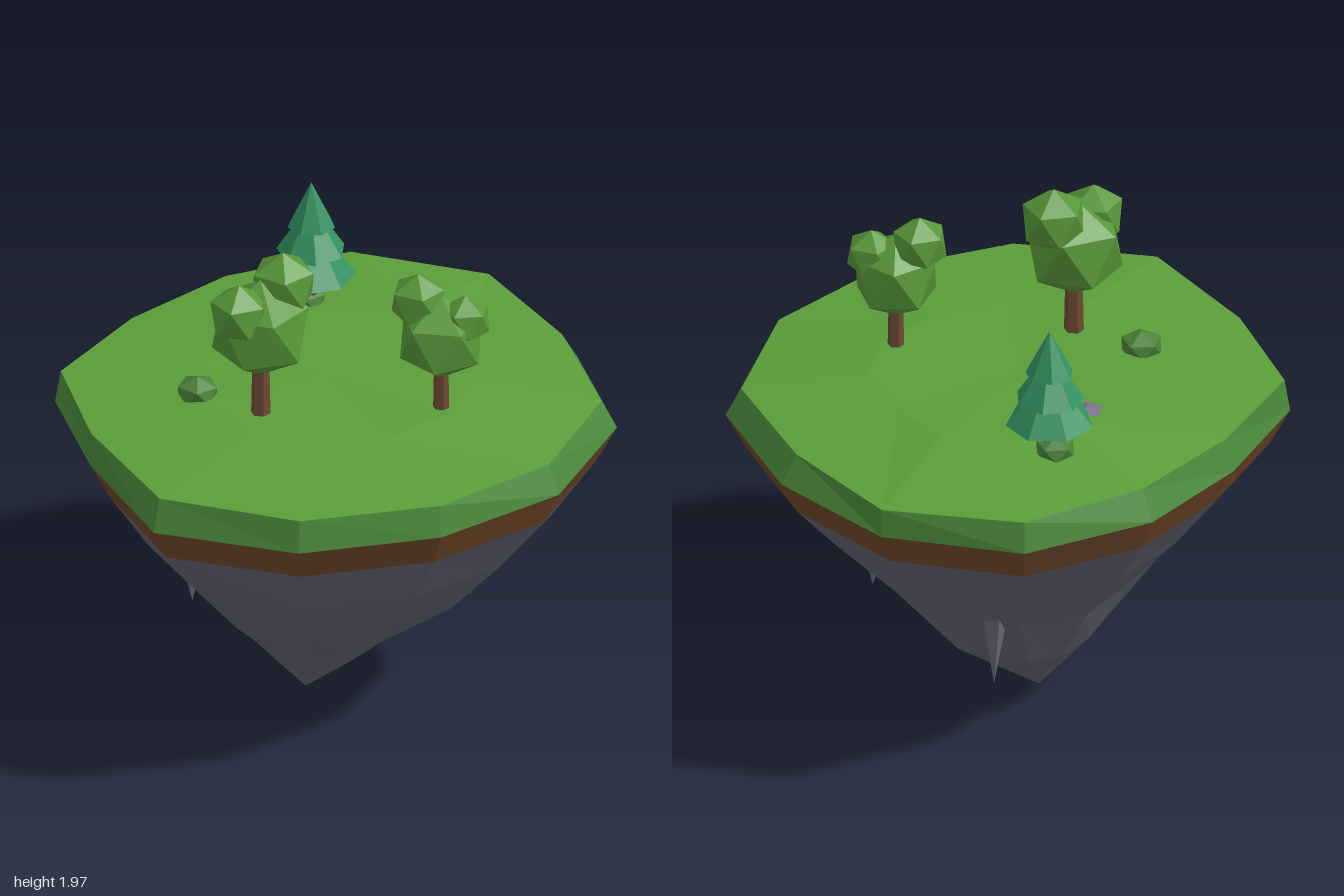
import * as THREE from 'three';

const mat = (name, color) => new THREE.MeshStandardMaterial({ name, color, flatShading: true });

// Island outline, clockwise seen from above: [x, z]
const outline = [
  [0.347, -1.0], [0.786, -0.68], [0.976, -0.18], [0.966, 0.376], [0.616, 0.804], [0.108, 0.99],
  [-0.43, 0.958], [-0.9, 0.656], [-0.98, 0.106], [-0.97, -0.397], [-0.6, -0.735], [-0.177, -0.968],
];
// Rim of the grass, slightly inside the outline
const rim = [
  [0.336, -0.974], [0.782, -0.677], [0.913, -0.17], [0.913, 0.355], [0.59, 0.767], [0.114, 0.963],
  [-0.42, 0.937], [-0.87, 0.635], [-0.975, 0.095], [-0.95, -0.39], [-0.585, -0.704], [-0.16, -0.92],
];

// A ring is the outline scaled by s, shifted by (cx, cz), at height y with a small wobble
const ring = (base, s, y, cx = 0, cz = 0, wobble = 0) =>
  base.map(([x, z], i) => {
    const k = s * (1 + wobble * Math.sin(i * 2.4 + y * 9));
    return new THREE.Vector3(x * k + cx, y + wobble * 0.4 * Math.sin(i * 1.9 + y * 5), z * k + cz);
  });

// Faceted skin through rings ordered from the top down
function skin(rings) {
  const pos = [];
  const tri = (a, b, c) => {
    if (a.distanceTo(b) && b.distanceTo(c) && c.distanceTo(a)) for (const p of [a, b, c]) pos.push(p.x, p.y, p.z);
  };
  for (let r = 0; r + 1 < rings.length; r++) {
    const t = rings[r], b = rings[r + 1], n = t.length;
    for (let i = 0; i < n; i++) {
      const j = (i + 1) % n;
      tri(t[i], t[j], b[i]);
      tri(t[j], b[j], b[i]);
    }
  }
  const g = new THREE.BufferGeometry();
  g.setAttribute('position', new THREE.Float32BufferAttribute(pos, 3));
  g.computeVertexNormals();
  return g;
}

// Icosahedron turned so that one corner points straight up
function blob(r) {
  return new THREE.IcosahedronGeometry(r, 0).rotateZ(Math.atan(2 / (1 + Math.sqrt(5))));
}

export function createModel() {
  const model = new THREE.Group();
  model.name = 'floatingIsland';
  const m = {
    grass: mat('grass', 0x5b9e39),
    turf: mat('turfSide', 0x4b8a3b),
    dirt: mat('dirt', 0x704729),
    rock: mat('rock', 0x626272),
    spike: mat('rockSpike', 0x6a687c),
    stone: mat('stone', 0x77718a),
    trunk: mat('trunk', 0x6e4932),
    leaf: mat('leaf', 0x579638),
    bush: mat('bush', 0x4a8038),
    pine: mat('pine', 0x339160),
  };
  const add = (parent, name, geometry, material, x = 0, y = 0, z = 0) => {
    const mesh = new THREE.Mesh(geometry, material);
    mesh.name = name;
    mesh.position.set(x, y, z);
    parent.add(mesh);
    return mesh;
  };
  const group = (name) => {
    const g = new THREE.Group();
    g.name = name;
    model.add(g);
    return g;
  };

  // Island layers: grass top, turf edge, dirt band, tapering rock
  const rimRing = ring(rim, 1, 1.28);
  rimRing.forEach((p) => { p.y -= 0.01 * p.x; });
  const edge = ring(outline, 1, 1.16);
  const dirtEnd = ring(outline, 0.928, 1.02);
  add(model, 'grassTop', skin([ring(rim, 0, 1.33, -0.04, -0.02), ring(rim, 0.52, 1.328, 0, 0, 0.02), rimRing]), m.grass);
  add(model, 'turfEdge', skin([rimRing, edge]), m.turf);
  add(model, 'dirtBand', skin([edge, dirtEnd]), m.dirt);
  add(model, 'rockBase', skin([
    dirtEnd,
    ring(outline, 0.75, 0.785, -0.01, 0.02, 0.02),
    ring(outline, 0.52, 0.54, -0.025, 0.01, 0.03),
    ring(outline, 0.28, 0.27, -0.045, -0.05, 0.04),
    ring(outline, 0, 0.005, -0.107, -0.053),
  ]), m.rock);

  // Hanging rock spikes: [x, z, tip y, base y, radius]
  for (const [x, z, tip, base, r] of [[0.46, 0.18, 0.43, 0.64, 0.06], [-0.54, -0.06, 0.43, 0.63, 0.05], [0.23, -0.43, 0.28, 0.62, 0.06]]) {
    const h = base - tip;
    add(model, 'rockSpike', new THREE.ConeGeometry(r, h, 5).rotateX(Math.PI), m.spike, x, tip + h / 2, z);
  }

  // Leafy trees: trunk plus blobs of foliage [x, y, z, radius, turn]
  const trees = [
    { x: -0.35, z: 0.19, r: 0.036, top: 1.55,
      blobs: [[-0.35, 1.69, 0.185, 0.2, 0.3], [-0.445, 1.785, 0.23, 0.12, 1.0], [-0.253, 1.84, 0.15, 0.13, 0.1]] },
    { x: 0.3, z: 0.34, r: 0.03, top: 1.52,
      blobs: [[0.3, 1.63, 0.34, 0.172, 0.5], [0.225, 1.77, 0.29, 0.11, 0.2], [0.382, 1.715, 0.38, 0.1, 0.8]] },
  ];
  for (const t of trees) {
    const g = group('leafyTree');
    add(g, 'trunk', new THREE.CylinderGeometry(t.r * 0.9, t.r * 1.05, t.top - 1.29, 6), m.trunk, t.x, (t.top + 1.29) / 2, t.z);
    for (const [x, y, z, r, turn] of t.blobs) add(g, 'foliage', blob(r), m.leaf, x, y, z).rotation.y = turn;
  }

  // Pine: short trunk and three stacked seven-sided tiers [base y, height, radius]
  const pine = group('pineTree');
  add(pine, 'trunk', new THREE.CylinderGeometry(0.027, 0.03, 0.2, 6), m.trunk, 0.07, 1.38, -0.58);
  [[1.44, 0.22, 0.165], [1.54, 0.2, 0.13], [1.645, 0.18, 0.09]].forEach(([y, h, r], i) => {
    add(pine, 'pineTier', new THREE.ConeGeometry(r, h, 7), m.pine, 0.07, y + h / 2, -0.58).rotation.y = Math.PI + i * 0.3;
  });

  // Bushes and a loose stone, squashed blobs
  const squashed = (name, r, squash, material, x, y, z) =>
    add(model, name, blob(r), material, x, y, z).scale.set(1, squash, 1);
  squashed('bush', 0.085, 0.7, m.bush, -0.53, 1.337, -0.025);
  squashed('bush', 0.08, 0.68, m.bush, 0.055, 1.33, -0.597);
  squashed('stone', 0.067, 0.5, m.stone, -0.165, 1.318, -0.38);

  return model;
}
